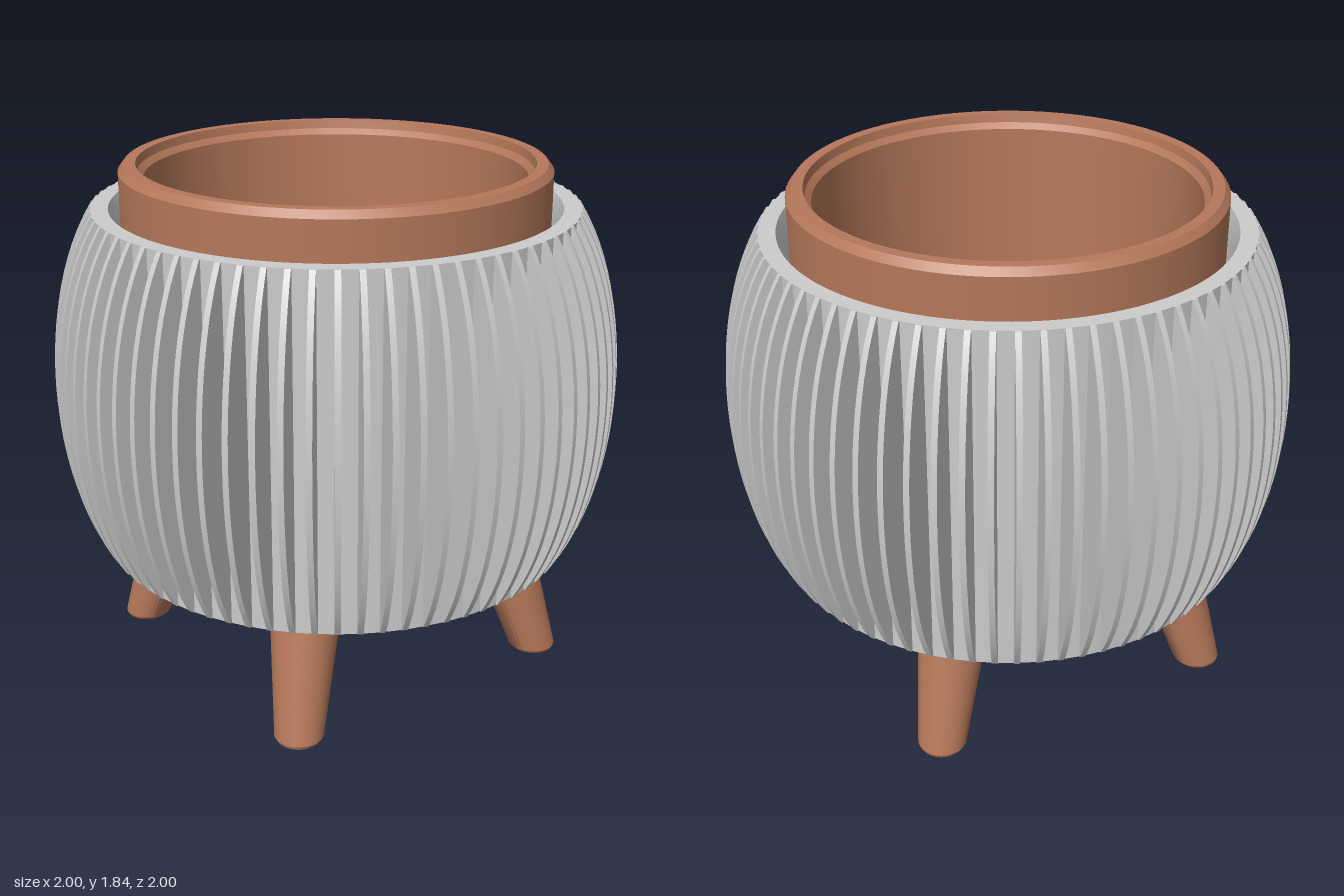
import * as THREE from 'three';
import { toCreasedNormals } from 'three/addons/utils/BufferGeometryUtils.js';

const grey = new THREE.MeshStandardMaterial({ color: 0xcccccc });
const clay = new THREE.MeshStandardMaterial({ color: 0xb5785a });
const RIBS = 72;
const BOTTOM = 0.47, TOP = 1.7;

function add(parent, name, geometry, material) {
  const mesh = new THREE.Mesh(geometry, material);
  mesh.name = name;
  parent.add(mesh);
  return mesh;
}

// Surface of revolution with sharp profile corners; points run [radius, y]
function lathe(points, segments = 96) {
  const geometry = new THREE.LatheGeometry(points.map(([r, y]) => new THREE.Vector2(r, y)), segments);
  return toCreasedNormals(geometry, 0.35);
}

// One thin upright fin with a bulging outer edge
function ribGeometry() {
  const shape = new THREE.Shape();
  shape.moveTo(0.82, BOTTOM);
  shape.lineTo(0.85, BOTTOM);
  shape.bezierCurveTo(1.05, 0.78, 1.05, 1.39, 0.85, TOP);
  shape.lineTo(0.82, TOP);
  shape.closePath();
  const geometry = new THREE.ExtrudeGeometry(shape, { depth: 0.02, bevelEnabled: false, curveSegments: 24 });
  geometry.translate(0, 0, -0.01);
  return toCreasedNormals(geometry, 0.5);
}

// Tapered leg, sheared outwards so that the foot stays level
function legGeometry() {
  const geometry = lathe([[0, 0], [0.077, 0], [0.086, 0.012], [0.13, 0.5], [0, 0.5]], 40);
  const p = geometry.attributes.position;
  for (let i = 0; i < p.count; i++) p.setX(i, p.getX(i) + 0.758 - 0.335 * p.getY(i));
  geometry.translate(0, 0.01, 0);
  return toCreasedNormals(geometry, 0.5);
}

export function createModel() {
  const model = new THREE.Group();
  model.name = 'planter';

  // Outer holder: closed base, straight wall, open top
  add(model, 'holder', lathe([
    [0, BOTTOM], [0.845, BOTTOM], [0.845, TOP], [0.785, TOP], [0.76, 1.62], [0.76, 0.54], [0, 0.54],
  ]), grey);

  // Fins around the holder
  const ribs = new THREE.Group();
  ribs.name = 'ribs';
  const rib = ribGeometry();
  for (let i = 0; i < RIBS; i++) {
    add(ribs, 'rib', rib, grey).rotation.y = (i / RIBS) * Math.PI * 2;
  }
  model.add(ribs);

  // Inner pot wall with chamfered rim
  const pot = new THREE.Group();
  pot.name = 'pot';
  add(pot, 'potWall', lathe([
    [0.63, 0.56], [0.725, 0.56], [0.745, 0.58], [0.745, 1.825], [0.725, 1.85],
    [0.685, 1.85], [0.68, 1.82], [0.66, 1.8], [0.637, 0.62],
  ]), clay);

  // Pot floor with two rings of drain holes
  const floor = new THREE.Shape().absarc(0, 0, 0.645, 0, Math.PI * 2);
  for (const radius of [0.14, 0.32]) {
    for (let i = 0; i < 5; i++) {
      const a = Math.PI / 2 + (i / 5) * Math.PI * 2;
      floor.holes.push(new THREE.Path().absarc(
        radius * Math.cos(a), radius * Math.sin(a), 0.043, 0, Math.PI * 2, true));
    }
  }
  const floorGeometry = new THREE.ExtrudeGeometry(floor, { depth: 0.06, bevelEnabled: false, curveSegments: 32 });
  floorGeometry.rotateX(-Math.PI / 2).translate(0, 0.56, 0);
  add(pot, 'potFloor', toCreasedNormals(floorGeometry, 0.5), clay);
  model.add(pot);

  // Four splayed legs
  const leg = legGeometry();
  for (let i = 0; i < 4; i++) add(model, 'leg', leg, clay).rotation.y = (i * Math.PI) / 2;

  return model;
}
